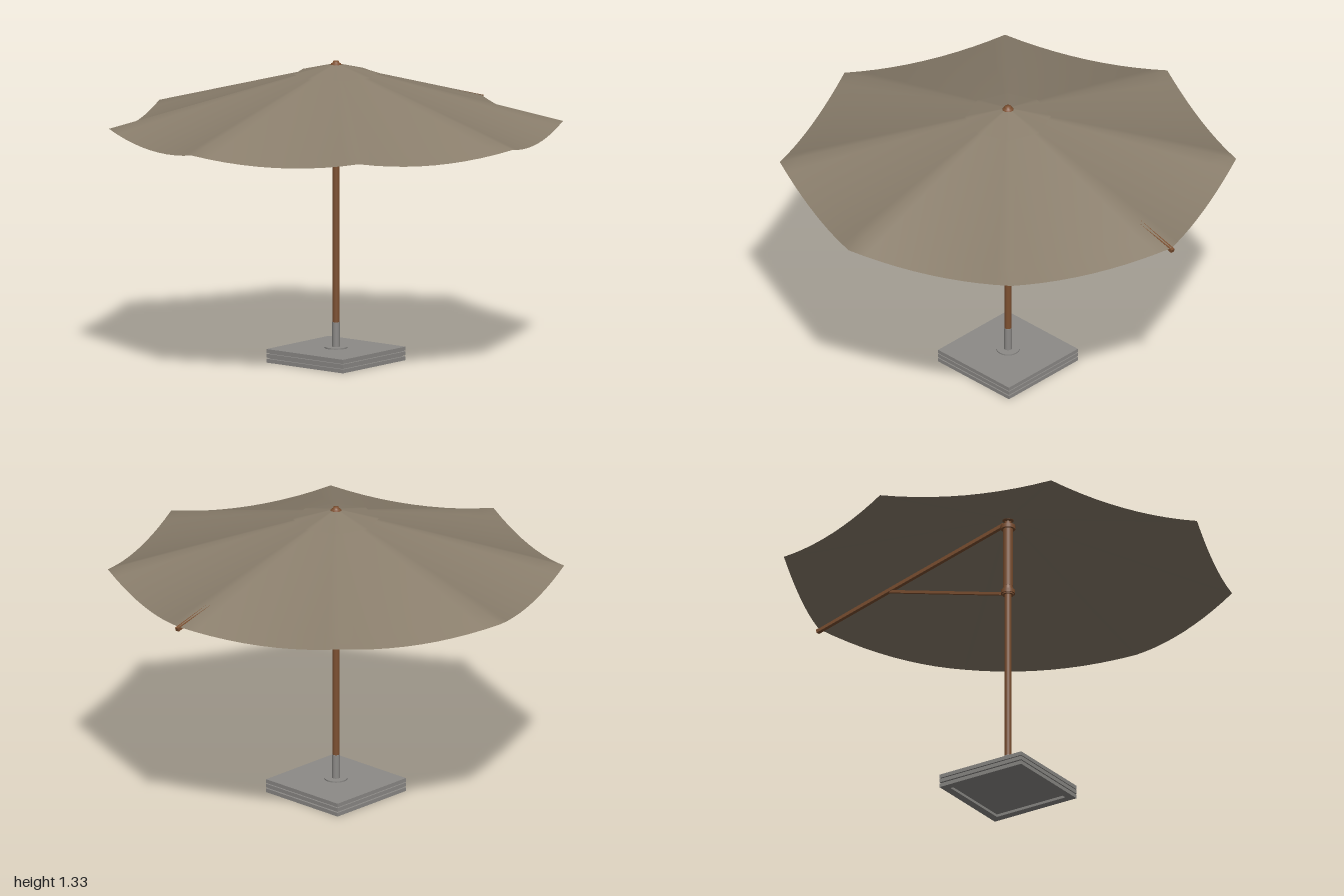
import * as THREE from 'three';

const CX = -0.004; // pole axis

const material = (name, color, side = THREE.FrontSide) =>
  Object.assign(new THREE.MeshStandardMaterial({ color, side }), { name });

// Eight-sided cloth: straight ribs from the apex, edges sagging between them
function clothGeometry(radius, apexY, rimY, sag) {
  const panels = 8, across = 10, rings = 10, cols = panels * across;
  const pos = [], index = [];
  for (let j = 0; j <= rings; j++) {
    const t = Math.max(j / rings, 0.002);
    for (let i = 0; i < cols; i++) {
      const p = Math.floor(i / across), s = (i % across) / across;
      const a = (p * Math.PI * 2) / panels, b = ((p + 1) * Math.PI * 2) / panels;
      const x = Math.cos(a) * (1 - s) + Math.cos(b) * s;
      const z = Math.sin(a) * (1 - s) + Math.sin(b) * s;
      const y = apexY + (rimY - apexY) * t - sag * 4 * s * (1 - s) * t * t;
      pos.push(x * radius * t, y, z * radius * t);
    }
  }
  for (let j = 0; j < rings; j++) {
    for (let i = 0; i < cols; i++) {
      const k = (i + 1) % cols;
      const a = j * cols + i, b = j * cols + k, c = a + cols, d = b + cols;
      index.push(a, b, c, b, d, c);
    }
  }
  const g = new THREE.BufferGeometry();
  g.setAttribute('position', new THREE.Float32BufferAttribute(pos, 3));
  g.setIndex(index);
  g.computeVertexNormals();
  return g;
}

export function createModel() {
  const group = new THREE.Group();
  group.name = 'parasol';
  const cloth = material('taupe cloth', 0x8a7e6c, THREE.DoubleSide);
  const wood = material('brown wood', 0x7d5031);
  const stone = material('grey stone', 0x8c8a87);

  const add = (name, geometry, mat, x = 0, y = 0, z = 0) => {
    const mesh = new THREE.Mesh(geometry, mat);
    mesh.name = name;
    mesh.position.set(CX + x, y, z);
    group.add(mesh);
    return mesh;
  };
  const tube = (name, r, y0, y1, mat, rTop = r) =>
    add(name, new THREE.CylinderGeometry(rTop, r, y1 - y0, 24), mat, 0, (y0 + y1) / 2);
  // Square bar between two points in the x-y plane
  const bar = (name, x0, y0, x1, y1, h, w) => {
    const g = new THREE.BoxGeometry(Math.hypot(x1 - x0, y1 - y0), h, w);
    add(name, g, wood, (x0 + x1) / 2, (y0 + y1) / 2).rotation.z = Math.atan2(y1 - y0, x1 - x0);
  };

  // Base: three slabs with recessed joints, hollow underneath
  const half = 0.215, inner = 0.18;
  const frame = new THREE.Shape([[-1, -1], [1, -1], [1, 1], [-1, 1]]
    .map(([x, y]) => new THREE.Vector2(x * half, y * half)));
  frame.holes.push(new THREE.Path([[-1, -1], [-1, 1], [1, 1], [1, -1]]
    .map(([x, y]) => new THREE.Vector2(x * inner, y * inner))));
  const bottom = new THREE.ExtrudeGeometry(frame, { depth: 0.017, bevelEnabled: false });
  bottom.rotateX(-Math.PI / 2);
  add('baseBottomFrame', bottom, stone);
  for (const y of [0.0305, 0.0515]) {
    add('baseSlab', new THREE.BoxGeometry(half * 2, 0.017, half * 2), stone, 0, y);
  }
  add('baseCore', new THREE.BoxGeometry(0.41, 0.044, 0.41), stone, 0, 0.034);
  tube('baseFlange', 0.05, 0.06, 0.066, stone);
  tube('baseSocket', 0.017, 0.06, 0.175, stone);

  // Pole with upper sleeve, sliding collar and hub
  tube('pole', 0.0155, 0.15, 1.3, wood);
  tube('upperSleeve', 0.022, 0.99, 1.28, wood);
  tube('collarNeck', 0.026, 0.95, 0.998, wood, 0.02);
  tube('collarRing', 0.031, 0.955, 0.972, wood);
  tube('hub', 0.032, 1.265, 1.283, wood);

  // Single rib and its strut
  bar('rib', 0.02, 1.291, 1.003, 1.035, 0.016, 0.018);
  bar('strut', 0.02, 0.96, 0.62, 1.128, 0.012, 0.012);

  // Canopy, top cap and finial
  add('canopy', clothGeometry(0.994, 1.315, 1.046, 0.036), cloth);
  add('canopyCap', clothGeometry(0.187, 1.32, 1.273, 0.001), cloth);
  const finial = [[0.0, 1.305], [0.024, 1.305], [0.026, 1.312], [0.02, 1.319],
    [0.013, 1.322], [0.013, 1.328], [0.0, 1.33]].map(([x, y]) => new THREE.Vector2(x, y));
  add('finial', new THREE.LatheGeometry(finial, 24), wood);

  return group;
}
